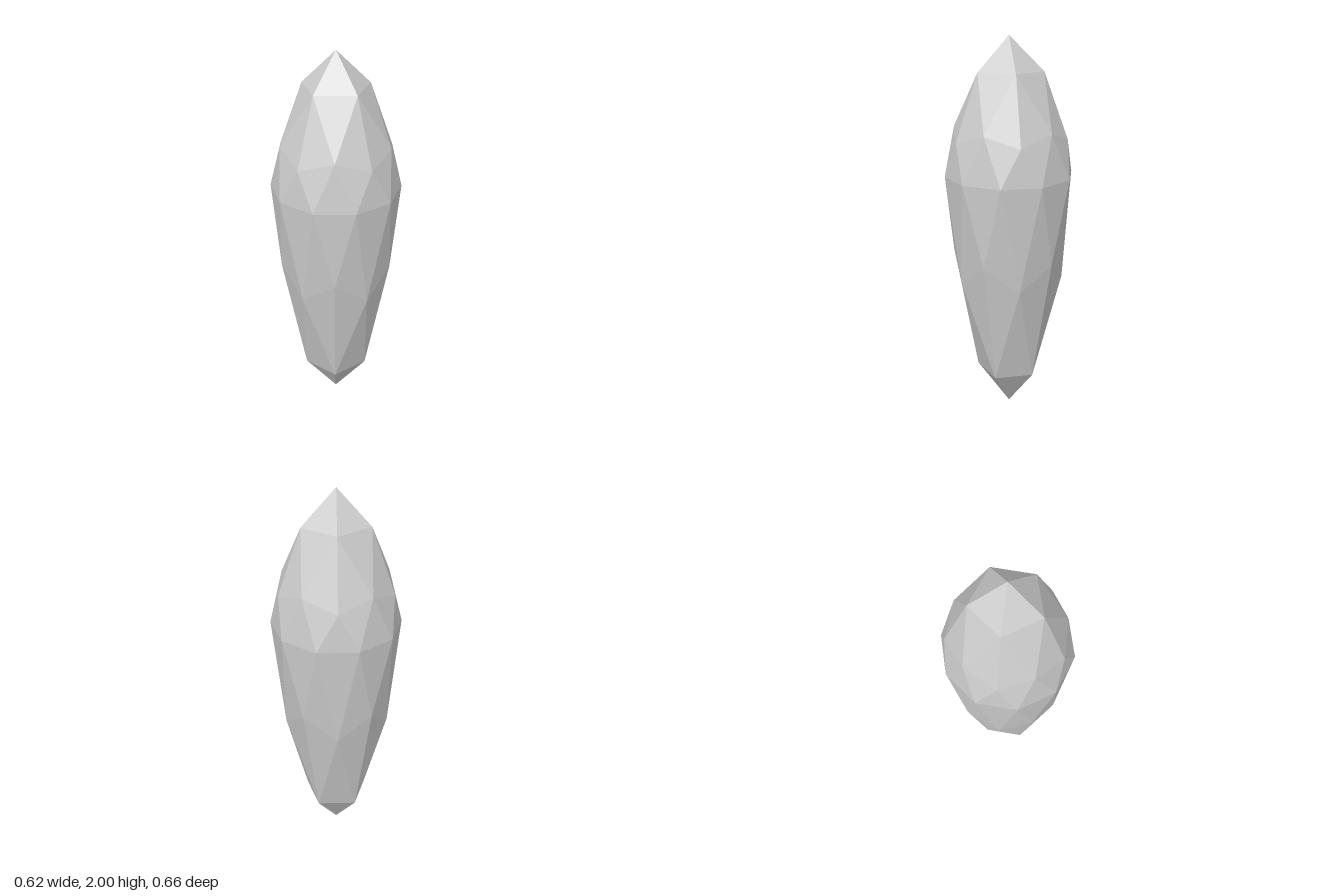
import * as THREE from 'three';

const RADIUS = 0.328;
// Each ring of the unit sphere (height) and where it sits on the stretched crystal
const RINGS = [
  [-1, 0], [-0.8507, 0.225], [-0.5257, 0.77], [-0.4472, 0.895], [0, 1.317],
  [0.4472, 1.502], [0.5257, 1.555], [0.8507, 1.831], [1, 2],
];

function stretchedHeight(y) {
  const nearest = RINGS.reduce((a, b) => (Math.abs(b[0] - y) < Math.abs(a[0] - y) ? b : a));
  return nearest[1];
}

export function createModel() {
  const group = new THREE.Group();
  group.name = 'crystal';

  // Faceted sphere turned so that one corner points straight up
  const geometry = new THREE.IcosahedronGeometry(1, 1);
  geometry.rotateZ(-Math.atan(2 / (1 + Math.sqrt(5))));

  // Keep the round plan, pull the rings into a long tapering shard
  const pos = geometry.attributes.position;
  for (let i = 0; i < pos.count; i++) {
    pos.setXYZ(i, pos.getX(i) * RADIUS, stretchedHeight(pos.getY(i)), pos.getZ(i) * RADIUS);
  }
  geometry.computeVertexNormals();

  const shard = new THREE.Mesh(
    geometry,
    new THREE.MeshStandardMaterial({ color: 0xcccccc, flatShading: true })
  );
  shard.name = 'shard';
  group.add(shard);
  return group;
}
